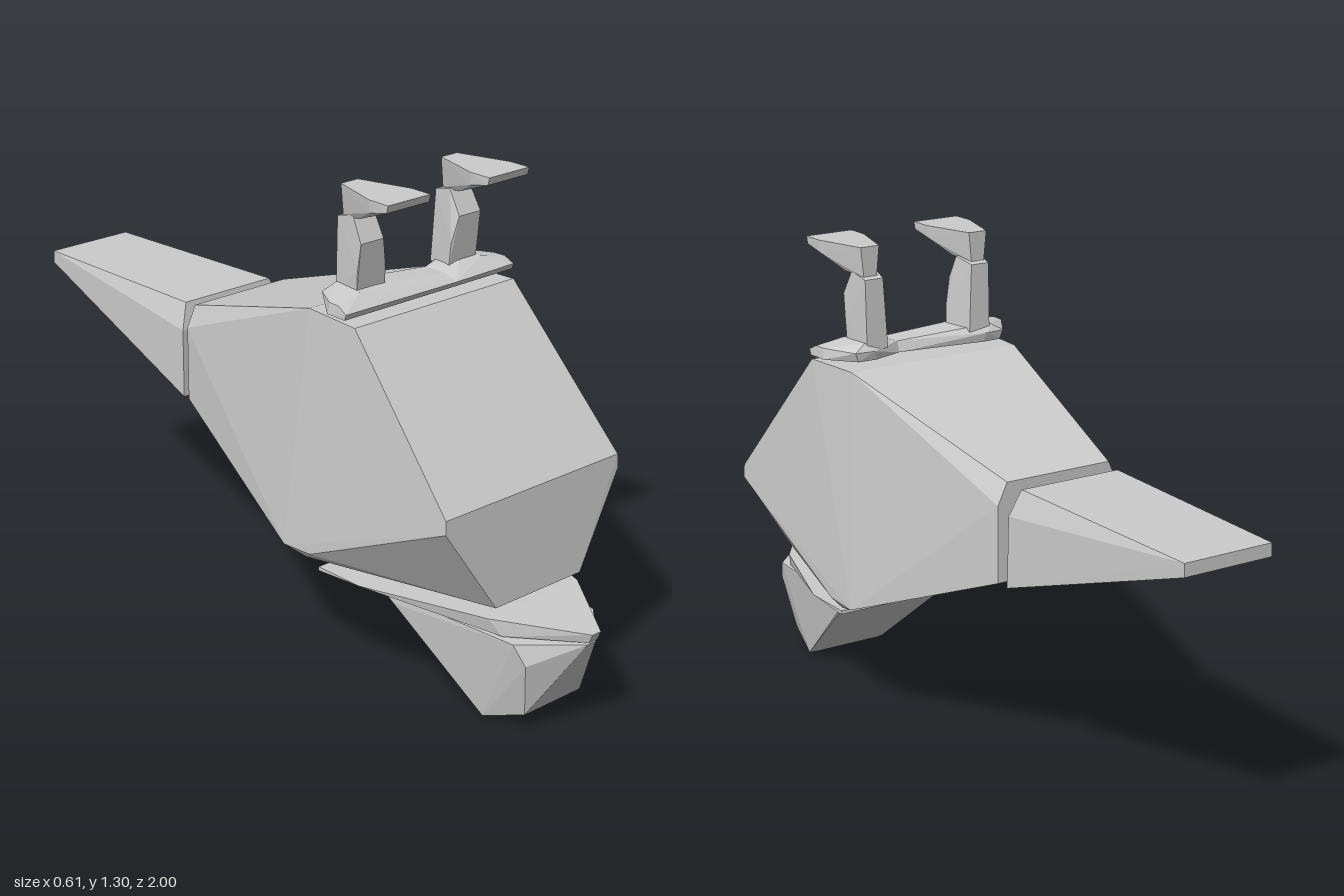
import * as THREE from 'three';
import { ConvexGeometry } from 'three/addons/geometries/ConvexGeometry.js';

const grey = new THREE.MeshStandardMaterial({ color: 0xcccccc, flatShading: true });

// Faceted solid from its corner points
function solid(name, corners) {
  const geometry = new ConvexGeometry(corners.map((c) => new THREE.Vector3(...c)));
  const mesh = new THREE.Mesh(geometry, grey);
  mesh.name = name;
  return mesh;
}

// Adds the mirror image of each corner across x = 0
const mirrored = (corners) => corners.flatMap(([x, y, z]) => [[x, y, z], [-x, y, z]]);

// Leg and foot, side = 1 for left and -1 for right
function makeLeg(side) {
  const leg = new THREE.Group();
  leg.name = side > 0 ? 'leftLeg' : 'rightLeg';
  const place = (corners) => corners.map(([x, y, z]) => [side * x, y, z]);
  leg.add(solid('shin', place([
    [0.11, 1.03, 0.36], [0.205, 1.03, 0.36], [0.13, 1.03, 0.275], [0.195, 1.03, 0.275],
    [0.113, 1.1, 0.365], [0.207, 1.1, 0.365], [0.13, 1.17, 0.375], [0.205, 1.17, 0.375],
    [0.13, 1.235, 0.34], [0.2, 1.235, 0.34], [0.14, 1.22, 0.28], [0.195, 1.22, 0.28],
  ])));
  leg.add(solid('foot', place([-1, 1].flatMap((s) => [
    [0.17 + s * 0.07, 1.305, 0.505], [0.17 + s * 0.07, 1.285, 0.5],
    [0.17 + s * 0.07, 1.305, 0.44], [0.17 + s * 0.068, 1.272, 0.44],
    [0.17 + s * 0.028, 1.305, 0.295], [0.17 + s * 0.02, 1.225, 0.295],
    [0.17 + s * 0.035, 1.232, 0.365],
  ]))));
  return leg;
}

export function createModel() {
  const model = new THREE.Group();
  model.name = 'upturnedBird';

  model.add(solid('body', mirrored([
    [0.275, 0.987, 0.43], [0.26, 0.987, 0.25],
    [0.303, 0.605, 0.78], [0.305, 0.57, 0.782],
    [0.15, 0.335, 0.805], [0.305, 0.35, 0.3], [0.29, 0.328, 0.27], [0.305, 0.345, 0.2],
    [0.157, 0.818, -0.325], [0.185, 0.76, -0.325], [0.185, 0.555, -0.325],
  ])));

  model.add(solid('tail', mirrored([
    [0.148, 0.81, -0.375], [0.175, 0.74, -0.357], [0.177, 0.55, -0.355],
    [0.13, 0.797, -1], [0.13, 0.762, -1],
  ])));

  // Flat upper beak and head plate
  model.add(solid('headPlate', mirrored([
    [0.015, 0.29, 1], [0.015, 0.265, 0.99],
    [0.16, 0.304, 0.79], [0.275, 0.306, 0.45], [0.275, 0.306, 0.3],
    [0.275, 0.295, 0.3], [0.2, 0.262, 0.45], [0.14, 0.26, 0.82],
  ])));

  model.add(solid('head', mirrored([
    [0.015, 0.258, 0.985], [0.02, 0.24, 0.975],
    [0.13, 0.2, 0.89], [0.145, 0.255, 0.86],
    [0.1, 0.047, 0.865], [0.125, 0.005, 0.745], [0.105, 0.005, 0.74],
    [0.18, 0.258, 0.44], [0.178, 0.235, 0.475],
  ])));

  // Hip plate in two pieces that meet at the dip in its top
  const hips = new THREE.Group();
  hips.name = 'hips';
  const seam = [
    [0.08, 1.005, 0.41], [0.08, 1.02, 0.42], [0.08, 1.034, 0.38],
    [0.08, 1.034, 0.31], [0.08, 1.005, 0.3],
  ];
  for (const side of [-1, 1]) {
    hips.add(solid(side > 0 ? 'leftHip' : 'rightHip', [...seam, ...[
      [0.29, 1.005, 0.41], [0.29, 1.02, 0.415], [0.287, 1.035, 0.385],
      [0.285, 1.035, 0.35], [0.288, 1.005, 0.345],
      [0.21, 1.05, 0.375], [0.14, 1.05, 0.37], [0.2, 1.05, 0.28],
      [0.235, 1.03, 0.268], [0.18, 1.03, 0.262], [0.225, 1.005, 0.27], [0.17, 1.005, 0.268],
    ].map(([x, y, z]) => [side * x, y, z])]));
  }
  model.add(hips);

  for (const side of [-1, 1]) model.add(makeLeg(side));
  return model;
}
